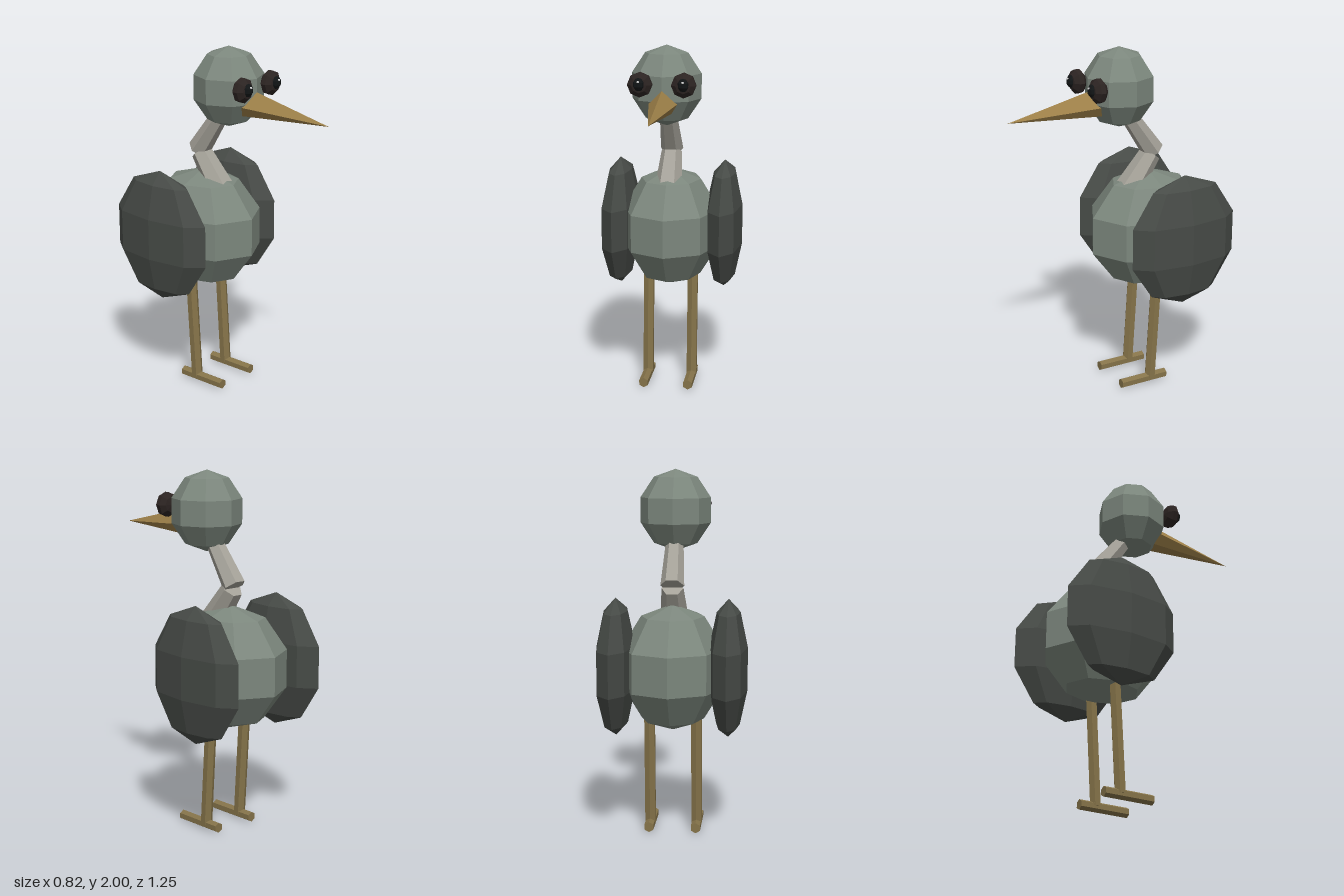
import * as THREE from 'three';
import { ConvexGeometry } from 'three/addons/geometries/ConvexGeometry.js';

const mat = (color) => new THREE.MeshStandardMaterial({ color, flatShading: true });
const V = (x, y, z) => new THREE.Vector3(x, y, z);

export function createModel() {
  const bird = new THREE.Group();
  bird.name = 'bird';

  const plumage = mat(0x7c877d);
  const wingMat = mat(0x474b47);
  const neckMat = mat(0xa5a299);
  const beakMat = mat(0x9c7f48);
  const legMat = mat(0x857349);
  const socketMat = mat(0x2c2422);
  const pupilMat = mat(0x121516);
  const glintMat = mat(0xe8e8e8);

  const add = (name, geometry, material) => {
    const mesh = new THREE.Mesh(geometry, material);
    mesh.name = name;
    bird.add(mesh);
    return mesh;
  };

  // Low-poly ellipsoid: 8 sides, 5 bands
  const blob = (name, material, center, radii) => {
    const mesh = add(name, new THREE.SphereGeometry(1, 8, 5), material);
    mesh.position.copy(center);
    mesh.scale.copy(radii);
    return mesh;
  };

  // Six-sided rod from a to b, turned about its own axis by twist
  const rod = (name, material, a, b, ra, rb, twist = 0) => {
    const dir = b.clone().sub(a);
    const geometry = new THREE.CylinderGeometry(rb, ra, dir.length(), 6).rotateY(twist);
    const mesh = add(name, geometry, material);
    mesh.position.copy(a).add(b).multiplyScalar(0.5);
    mesh.quaternion.setFromUnitVectors(V(0, 1, 0), dir.normalize());
    return mesh;
  };

  // Body and head
  blob('body', plumage, V(0, 0.927, -0.24), V(0.295, 0.35, 0.368));
  blob('head', plumage, V(0, 1.775, -0.055), V(0.205, 0.225, 0.205));

  // Bent neck
  rod('lowerNeck', neckMat, V(0, 1.12, -0.08), V(0, 1.365, -0.26), 0.085, 0.06, Math.PI / 6);
  rod('upperNeck', neckMat, V(0, 1.38, -0.275), V(0, 1.7, -0.05), 0.065, 0.042, Math.PI / 6);

  // Pointed beak with a ridge on top and a flat underside
  add('beak', new ConvexGeometry([
    V(0, 1.796, 0.03), V(0.09, 1.697, 0.03), V(-0.09, 1.697, 0.03),
    V(0.048, 1.634, 0.03), V(-0.048, 1.634, 0.03), V(0, 1.66, 0.62),
  ]), beakMat);

  for (const [side, s] of [['left', 1], ['right', -1]]) {
    // Wings
    blob(side + 'Wing', wingMat, V(s * 0.307, 0.935, -0.298), V(0.11, 0.38, 0.345));

    // Eyes
    const socket = blob(side + 'EyeSocket', socketMat, V(s * 0.12, 1.803, 0.14), V(0.072, 0.045, 0.072));
    socket.rotation.x = Math.PI / 2;
    blob(side + 'Pupil', pupilMat, V(s * 0.121, 1.808, 0.168), V(0.034, 0.038, 0.038));
    blob(side + 'EyeGlint', glintMat, V(s * 0.121, 1.823, 0.196), V(0.008, 0.008, 0.008));

    // Legs and feet
    rod(side + 'Leg', legMat, V(s * 0.13, 0.03, -0.195), V(s * 0.13, 0.75, -0.238), 0.033, 0.033);
    rod(side + 'Foot', legMat, V(s * 0.13, 0.029, -0.295), V(s * 0.13, 0.029, 0), 0.029, 0.029);
  }
  return bird;
}
